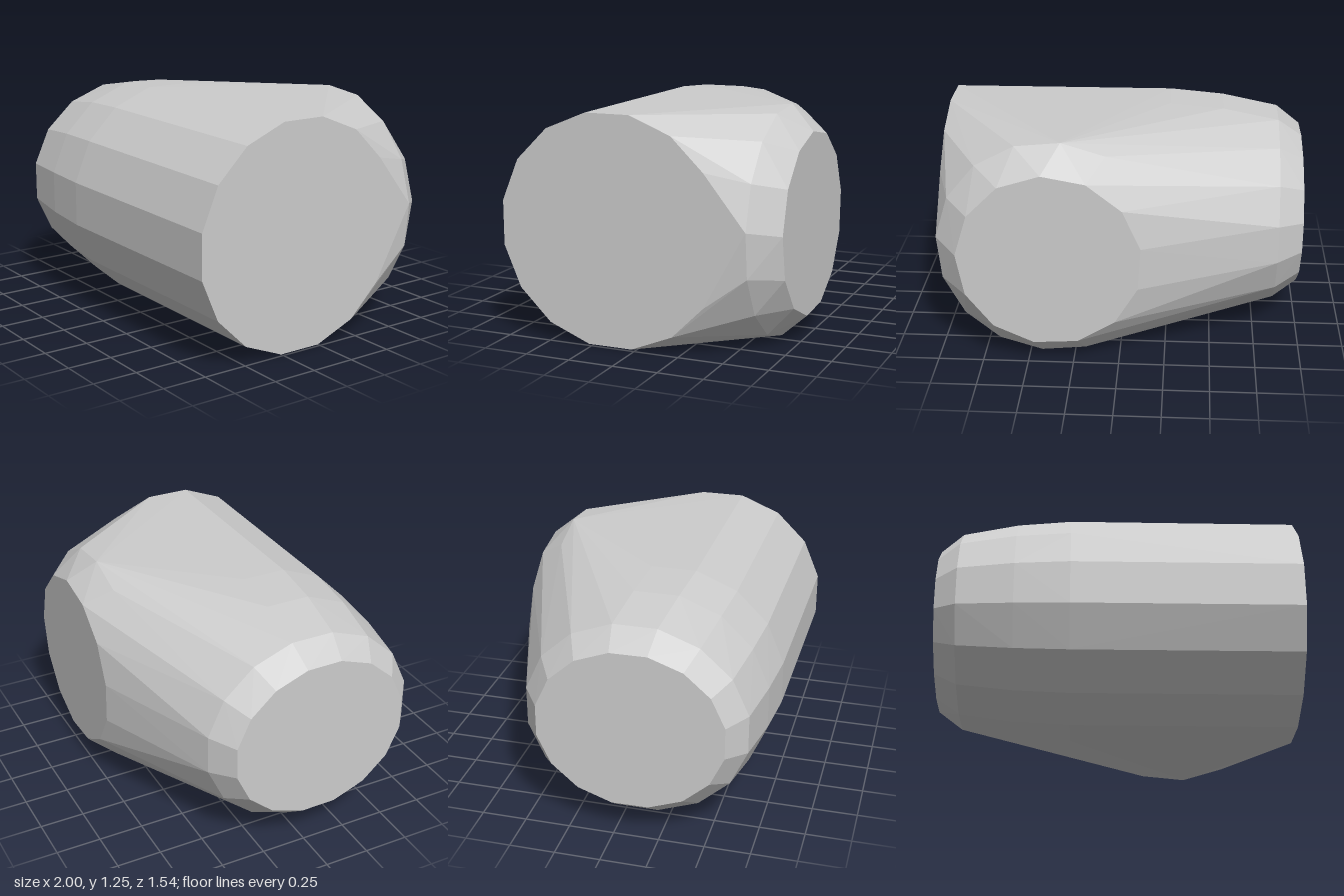
import * as THREE from 'three';
import { ConvexGeometry } from 'three/addons/geometries/ConvexGeometry.js';

// One elliptical cross-section: place(u, v) turns ring offsets into a point.
function ring(sides, ru, rv, phase, place) {
  return Array.from({ length: sides }, (_, i) => {
    const a = phase + (i / sides) * Math.PI * 2;
    return place(Math.cos(a) * ru, Math.sin(a) * rv);
  });
}

export function createModel() {
  const group = new THREE.Group();
  const points = [];

  // Main barrel along x: [x, centre y, centre z, radius z, radius y, tilt]
  const barrel = [
    [-0.992, 0.635, 0.09, 0.515, 0.455, 0.015],
    [-0.86, 0.635, 0.09, 0.615, 0.555, 0],
    [-0.55, 0.633, 0.12, 0.63, 0.61, 0],
    [-0.25, 0.63, 0.14, 0.634, 0.632, 0],
    [1, 0.627, 0.14, 0.64, 0.63, 0],
  ];
  for (const [x, cy, cz, rz, ry, tilt] of barrel) {
    points.push(...ring(16, rz, ry, Math.PI / 16,
      (u, v) => new THREE.Vector3(x + tilt * u, cy + v, cz + u)));
  }

  // Side branch along -z, ending in a bevelled flat cap: [z, radius, sides, phase]
  const branch = [
    [-0.62, 0.63, 16, 0.1],
    [-0.77, 0.5, 13, 0.06],
  ];
  for (const [z, r, sides, phase] of branch) {
    points.push(...ring(sides, r, r, phase,
      (u, v) => new THREE.Vector3(0.373 + u, 0.627 + v, z)));
  }

  // Faceted solid skin stretched over barrel and branch
  const body = new THREE.Mesh(
    new ConvexGeometry(points),
    new THREE.MeshStandardMaterial({ color: 0xcccccc, flatShading: true })
  );
  body.name = 'facetedBody';
  group.add(body);
  return group;
}
